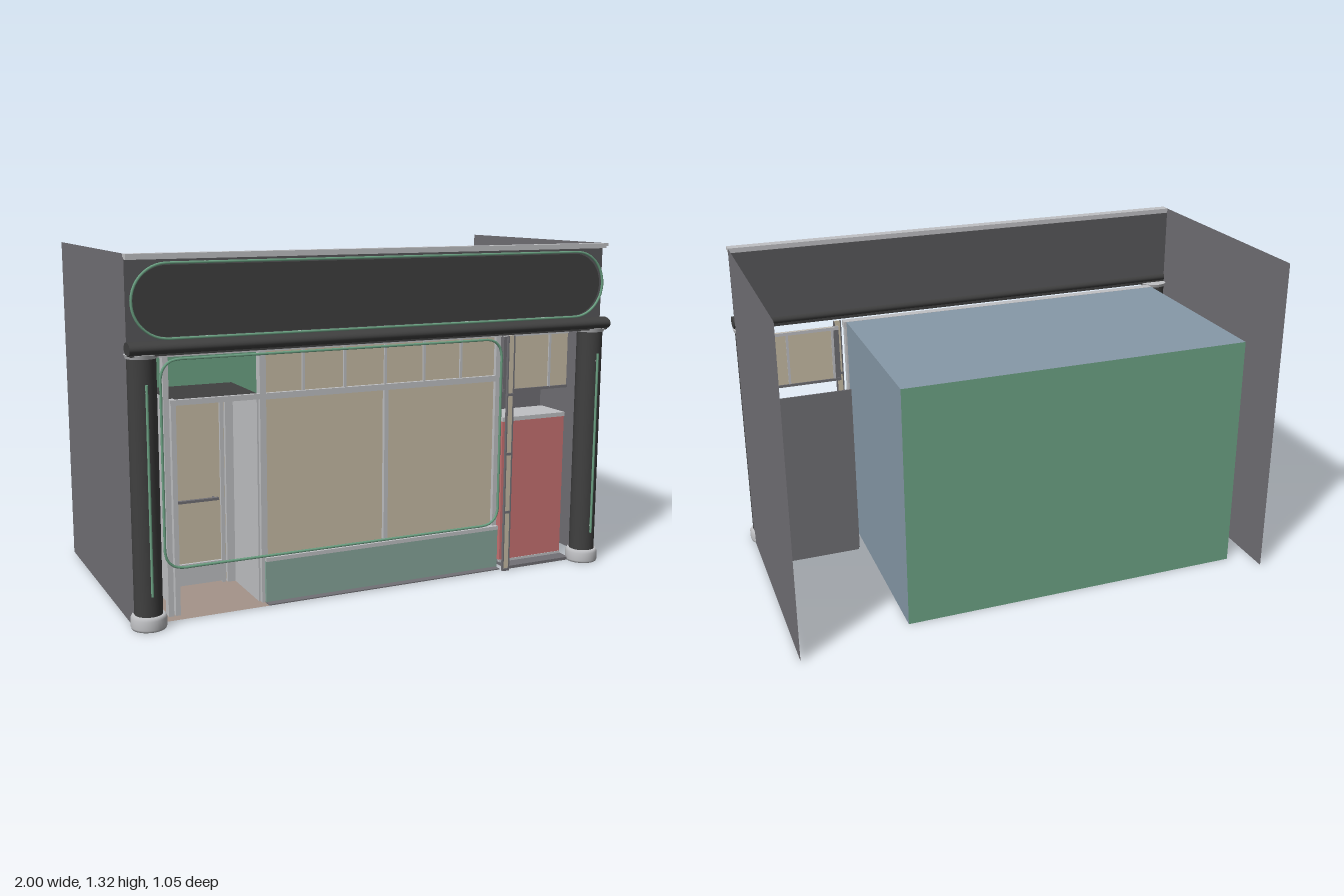
import * as THREE from 'three';

const mat = (name, color, side = THREE.DoubleSide) => {
  const m = new THREE.MeshStandardMaterial({ color, side });
  m.name = name;
  return m;
};

export function createModel() {
  const wall = mat('wall grey', 0x717075);
  const fasciaGrey = mat('fascia grey', 0x58585a);
  const black = mat('black', 0x404040);
  const light = mat('light grey', 0xc0c1c4);
  const cream = mat('cream glass', 0xc9bea6);
  const red = mat('red', 0xc97272);
  const teal = mat('pale teal', 0x87a79b);
  const green = mat('green', 0x6ea586);
  const blue = mat('blue grey', 0x8799a8);
  const brown = mat('brown floor', 0xa5948a);

  const model = new THREE.Group();
  model.name = 'shopfront';

  const add = (name, geo, material, x = 0, y = 0, z = 0) => {
    const m = new THREE.Mesh(geo, material);
    m.name = name;
    m.position.set(x, y, z);
    model.add(m);
    return m;
  };
  // box given by its limits
  const box = (name, material, x0, x1, y0, y1, z0, z1) =>
    add(name, new THREE.BoxGeometry(x1 - x0, y1 - y0, z1 - z0), material,
      (x0 + x1) / 2, (y0 + y1) / 2, (z0 + z1) / 2);
  // rounded rectangle outline
  const rounded = (x0, x1, y0, y1, r) => {
    const s = new THREE.Shape();
    s.moveTo(x0 + r, y0);
    s.lineTo(x1 - r, y0);
    s.absarc(x1 - r, y0 + r, r, -Math.PI / 2, 0);
    s.lineTo(x1, y1 - r);
    s.absarc(x1 - r, y1 - r, r, 0, Math.PI / 2);
    s.lineTo(x0 + r, y1);
    s.absarc(x0 + r, y1 - r, r, Math.PI / 2, Math.PI);
    s.lineTo(x0, y0 + r);
    s.absarc(x0 + r, y0 + r, r, Math.PI, Math.PI * 1.5);
    return s;
  };
  const neonLoop = (name, shape, z) => {
    const pts = shape.getSpacedPoints(120).slice(0, -1).map(p => new THREE.Vector3(p.x, p.y, z));
    const curve = new THREE.CatmullRomCurve3(pts, true);
    add(name, new THREE.TubeGeometry(curve, 240, 0.005, 6, true), green);
  };

  // Side walls, columns and their neon strips
  for (const s of [-1, 1]) {
    const side = add('sideWall', new THREE.PlaneGeometry(0.985, 1.32), wall, s * 0.985, 0.66, -0.0325);
    side.rotation.y = s * Math.PI / 2;
    const x = s * 0.935, z = 0.463;
    add('column', new THREE.CylinderGeometry(0.051, 0.051, 0.92, 32), black, x, 0.51, z);
    const basePts = [[0, 0], [0.062, 0], [0.065, 0.008], [0.065, 0.04], [0.058, 0.052], [0, 0.054]]
      .map(p => new THREE.Vector2(...p));
    add('columnBase', new THREE.LatheGeometry(basePts, 32), light, x, 0, z);
    add('columnCapital', new THREE.CylinderGeometry(0.06, 0.055, 0.014, 32), light, x, 0.973, z);
    add('columnNeon', new THREE.CylinderGeometry(0.005, 0.005, 0.75, 8), green, x, 0.505, 0.522);
    for (const y of [0.16, 0.85]) box('neonClip', light, x - 0.003, x + 0.003, y - 0.003, y + 0.003, 0.51, 0.522);
  }

  // Fascia, rounded beam and cornice
  box('fascia', fasciaGrey, -0.985, 0.985, 0.985, 1.3, 0.453, 0.46);
  const beam = add('beam', new THREE.CylinderGeometry(1, 1, 1.98, 24), black, 0, 1.0, 0.485);
  beam.rotation.z = Math.PI / 2;
  beam.scale.set(0.024, 1, 0.04);
  box('beamFoot', black, -0.985, 0.985, 0.975, 0.99, 0.452, 0.51);
  box('corniceTop', light, -0.987, 0.987, 1.308, 1.32, 0.452, 0.494);
  box('corniceLower', light, -0.985, 0.985, 1.3, 1.308, 0.455, 0.485);

  // Sign board with neon outline
  const signGeo = new THREE.ExtrudeGeometry(rounded(-0.965, 0.96, 1.035, 1.28, 0.1225),
    { depth: 0.018, bevelEnabled: false, curveSegments: 20 });
  add('signBoard', signGeo, black, 0, 0, 0.461);
  neonLoop('signNeon', rounded(-0.972, 0.967, 1.03, 1.288, 0.129), 0.49);
  for (const x of [-0.7, -0.35, 0, 0.35, 0.7])
    for (const y of [1.03, 1.288]) box('neonClip', light, x - 0.003, x + 0.003, y - 0.003, y + 0.003, 0.46, 0.49);

  // Room shell, open at the front
  const x0 = -0.88, x1 = 0.54, zb = -0.43, h = 0.985;
  const roomZ = (zb + 0.37) / 2;
  add('roomBack', new THREE.PlaneGeometry(x1 - x0, h), green, (x0 + x1) / 2, h / 2, zb);
  for (const x of [x0, x1])
    add('roomSide', new THREE.PlaneGeometry(0.8, h), blue, x, h / 2, roomZ).rotation.y = Math.PI / 2;
  add('roomCeiling', new THREE.PlaneGeometry(x1 - x0, 0.8), blue, (x0 + x1) / 2, h, roomZ).rotation.x = -Math.PI / 2;
  add('roomFloor', new THREE.PlaneGeometry(x1 - x0, 0.88), brown, (x0 + x1) / 2, 0.003, 0.01).rotation.x = -Math.PI / 2;
  for (let i = 0; i < 4; i++) {
    const x = 0.366 - i * 0.33;
    box('floorPanel', black, x - 0.12, x + 0.12, 0, 0.006, -0.1, 0.02);
  }
  box('kerb', wall, -0.47, x1, 0.003, 0.007, 0.41, 0.45);
  box('headSoffit', wall, x0, x1, 0.966, 0.97, 0.41, 0.45);

  // Main window
  box('stallRiser', teal, -0.47, 0.545, 0, 0.165, 0.37, 0.42);
  box('windowGlass', cream, -0.465, 0.535, 0.17, 0.96, 0.386, 0.392);
  const f0 = 0.372, f1 = 0.408;
  box('headRail', light, x0, 0.55, 0.955, 0.985, f0, f1);
  box('windowSill', light, -0.47, 0.545, 0.165, 0.18, f0, 0.425);
  box('transomBar', light, -0.46, 0.535, 0.777, 0.8, f0, f1);
  box('windowPost', light, -0.482, -0.458, 0, 0.96, f0, f1);
  box('windowPost', light, 0.526, 0.546, 0.165, 0.96, f0, f1);
  box('windowMullion', light, 0.028, 0.045, 0.18, 0.78, f0, f1);
  for (const x of [-0.305, -0.135, 0.036, 0.205, 0.37])
    box('transomMullion', light, x - 0.005, x + 0.005, 0.8, 0.956, 0.376, 0.4);
  neonLoop('windowNeon', rounded(-0.865, 0.525, 0.197, 0.952, 0.065), 0.448);

  // Recessed porch and door
  const doorZ = 0.1;
  box('porchSide', light, -0.806, -0.8, 0, 0.79, doorZ, 0.4);
  box('porchSide', light, -0.488, -0.482, 0, 0.79, doorZ, 0.39);
  box('porchCanopy', black, -0.806, -0.482, 0.79, 0.797, doorZ, 0.4);
  box('porchPost', light, -0.845, -0.825, 0, 0.96, f0, f1);
  box('porchPost', light, -0.818, -0.8, 0, 0.8, f0, f1);
  box('porchHead', light, -0.82, -0.48, 0.78, 0.8, f0 + 0.02, f1);
  box('doorJamb', light, -0.8, -0.79, 0, 0.785, doorZ, doorZ + 0.03);
  box('doorJamb', light, -0.52, -0.488, 0, 0.785, doorZ, doorZ + 0.03);
  box('doorStile', light, -0.785, -0.77, 0, 0.775, doorZ, doorZ + 0.024);
  box('doorStile', light, -0.54, -0.525, 0, 0.775, doorZ, doorZ + 0.024);
  box('doorBottomRail', light, -0.77, -0.54, 0.01, 0.095, doorZ, doorZ + 0.024);
  box('doorTopRail', light, -0.77, -0.54, 0.76, 0.785, doorZ, doorZ + 0.024);
  box('doorGlass', cream, -0.79, -0.52, 0.01, 0.78, doorZ + 0.008, doorZ + 0.012);
  box('doorHandle', wall, -0.755, -0.555, 0.345, 0.355, doorZ + 0.03, doorZ + 0.045);
  for (const x of [-0.74, -0.57])
    box('handleBracket', wall, x - 0.004, x + 0.004, 0.346, 0.354, doorZ + 0.01, doorZ + 0.035);

  // Narrow side glazing with bars
  box('sideGlazing', cream, 0.548, 0.572, 0, 0.965, 0.458, 0.464);
  for (const y of [0.005, 0.247, 0.488, 0.73])
    box('sideGlazingBar', wall, 0.546, 0.574, y - 0.005, y + 0.005, 0.456, 0.468);
  box('sideGlazingEdge', wall, 0.544, 0.549, 0, 0.965, 0.456, 0.467);
  box('sideGlazingEdge', wall, 0.571, 0.576, 0, 0.965, 0.456, 0.467);

  // Red counter in its bay
  box('bayFloor', wall, 0.575, 0.88, 0, 0.012, 0.21, 0.45);
  box('bayBack', wall, 0.572, 0.88, 0.012, 0.75, 0.206, 0.211);
  box('counterBody', red, 0.576, 0.876, 0.02, 0.605, 0.214, 0.39);
  box('counterTop', light, 0.576, 0.878, 0.605, 0.622, 0.226, 0.393);
  box('counterFoot', light, 0.576, 0.876, 0.012, 0.022, 0.38, 0.392);
  box('bayGlass', cream, 0.6, 0.88, 0.735, 0.965, 0.386, 0.392);
  box('bayPanel', wall, 0.572, 0.6, 0.73, 0.965, 0.386, 0.392);
  box('bayRail', wall, 0.572, 0.88, 0.727, 0.738, 0.382, 0.398);
  box('bayHead', light, 0.572, 0.88, 0.952, 0.965, 0.382, 0.398);
  for (const x of [0.6, 0.79]) box('bayMullion', light, x - 0.005, x + 0.005, 0.735, 0.96, 0.382, 0.398);

  return model;
}
